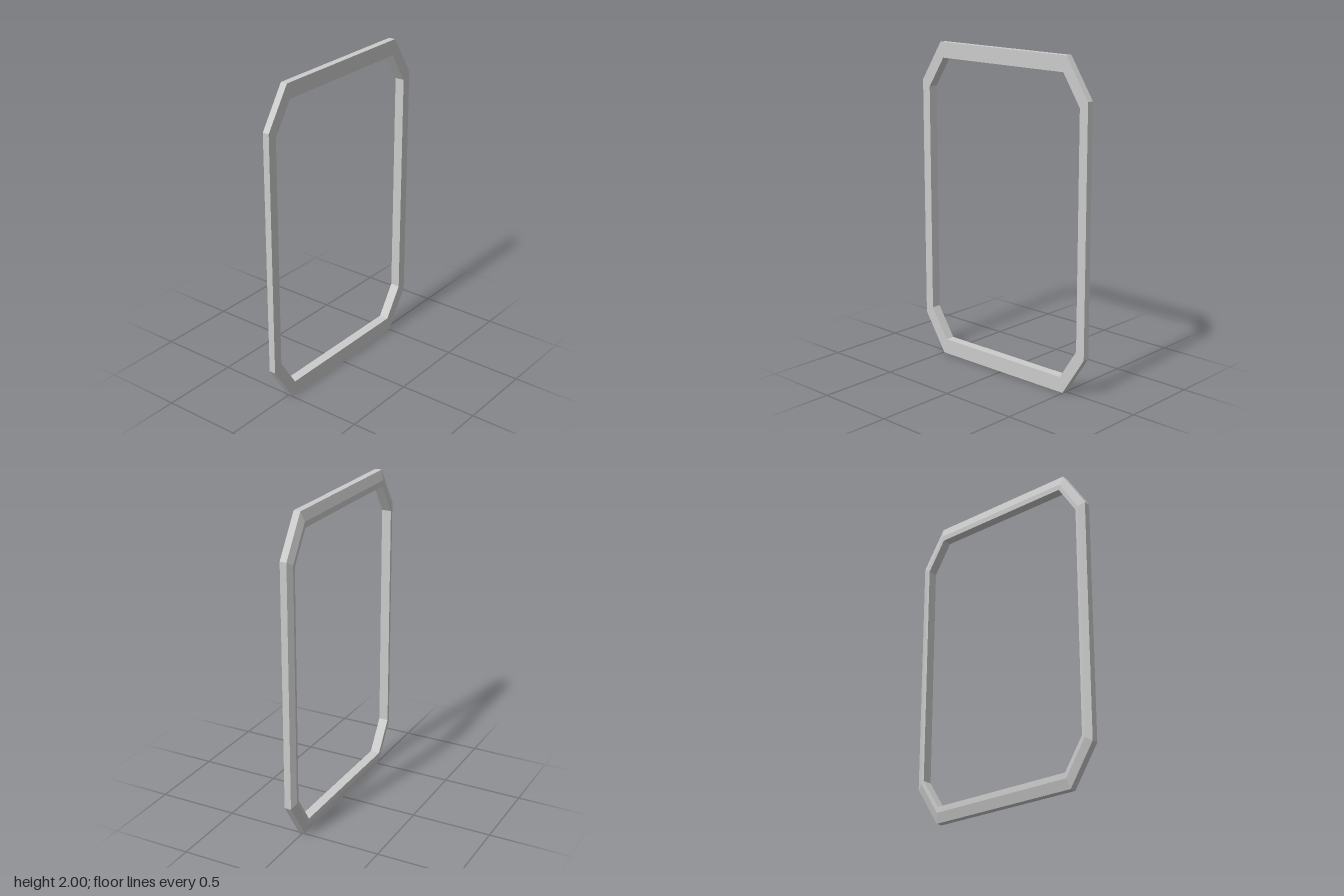
import * as THREE from 'three';

// Eight corners of a chamfered rectangle, counter-clockwise seen from +x
function ring(x, side, sideV, top, topV) {
  const uv = [[side, -sideV], [side, sideV], [top, topV], [-top, topV],
    [-side, sideV], [-side, -sideV], [-top, -topV], [top, -topV]];
  return uv.map(([u, v]) => [x, 1 + v, -u]);
}

export function createModel() {
  // Cross-section of the frame: each entry is one loop around the opening
  const rings = [
    ring(0.03, 0.655, 0.757, 0.497, 1),        // outer edge, flat side
    ring(0.03, 0.597, 0.717, 0.475, 0.905),    // inner edge, flat side
    ring(-0.03, 0.597, 0.717, 0.475, 0.905),   // inner edge, bevelled side
    ring(-0.03, 0.615, 0.732, 0.482, 0.94),    // inner end of the bevel
    ring(-0.012, 0.655, 0.757, 0.497, 1),      // outer end of the bevel
  ];

  // Join neighbouring loops with flat quads
  const positions = [];
  rings.forEach((a, i) => {
    const b = rings[(i + 1) % rings.length];
    for (let j = 0; j < 8; j++) {
      const k = (j + 1) % 8;
      positions.push(...a[j], ...a[k], ...b[k], ...a[j], ...b[k], ...b[j]);
    }
  });
  const geometry = new THREE.BufferGeometry();
  geometry.setAttribute('position', new THREE.Float32BufferAttribute(positions, 3));
  geometry.computeVertexNormals();

  const frame = new THREE.Mesh(geometry,
    new THREE.MeshStandardMaterial({ color: 0xcccccc, flatShading: true }));
  frame.name = 'frame';

  const group = new THREE.Group();
  group.name = 'chamferedFrame';
  group.add(frame);
  return group;
}
